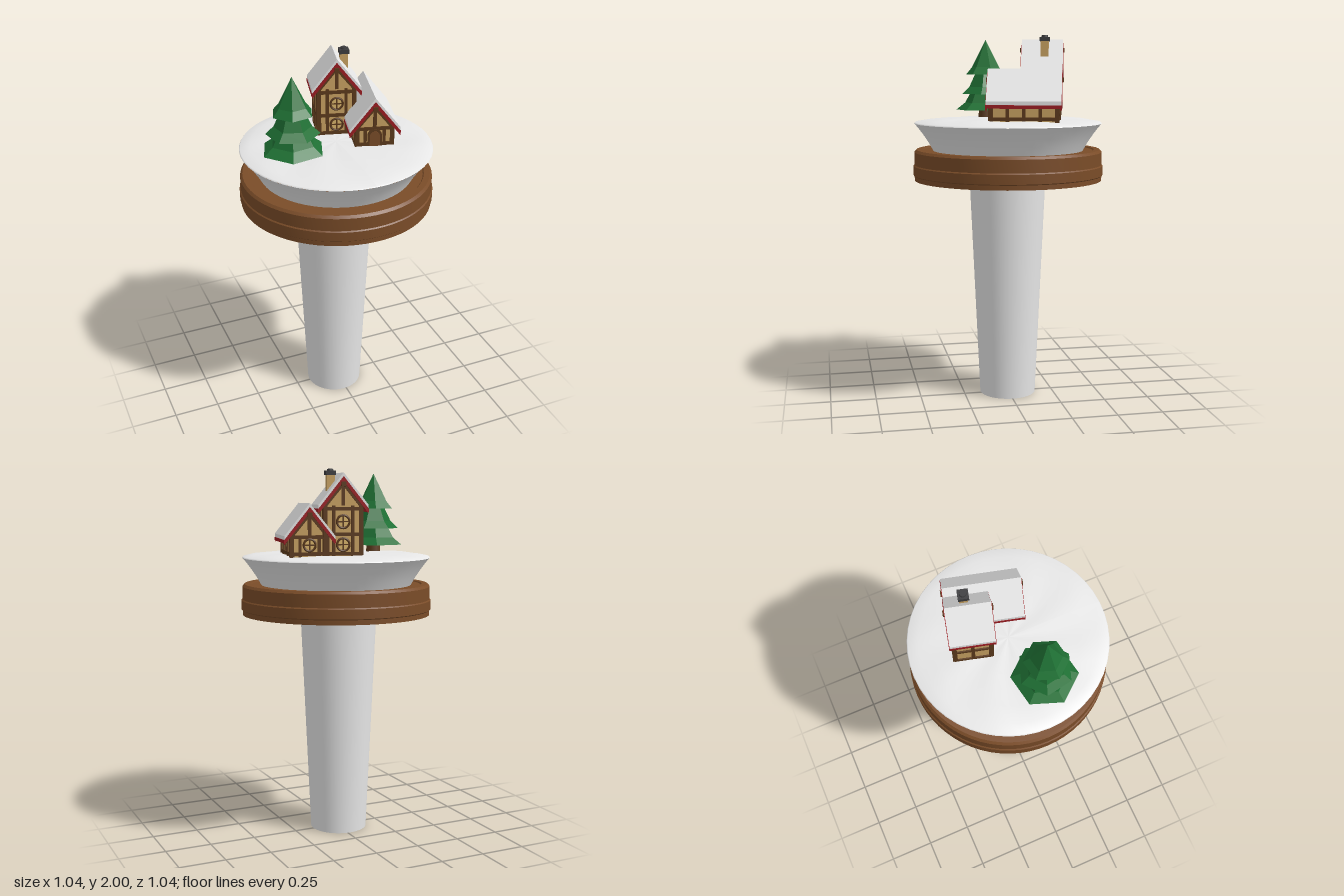
import * as THREE from 'three';
import { toCreasedNormals } from 'three/addons/utils/BufferGeometryUtils.js';

const mat = (name, color, extra = {}) => {
  const m = new THREE.MeshStandardMaterial({ color, ...extra });
  m.name = name;
  return m;
};

export function createModel() {
  const M = {
    white: mat('white', 0xececec),
    snow: mat('snow', 0xf0f0f0),
    wood: mat('wood', 0x7a4c28),
    timber: mat('timber', 0x5c3a1c),
    plaster: mat('plaster', 0xc9a262),
    red: mat('red', 0x9c1c22),
    green: mat('green', 0x1f7034, { flatShading: true }),
    charcoal: mat('charcoal', 0x3c3c3e),
    glass: mat('glass', 0xd8b36a),
  };
  const model = new THREE.Group();
  const add = (parent, name, geo, material, x = 0, y = 0, z = 0) => {
    const m = new THREE.Mesh(geo, material);
    m.name = name;
    m.position.set(x, y, z);
    parent.add(m);
    return m;
  };
  const V = (pts) => pts.map(([x, y]) => new THREE.Vector2(x, y));
  const lathe = (pts, n, start = 0) => new THREE.LatheGeometry(V(pts), n, start);

  // Tapered column
  add(model, 'column', new THREE.CylinderGeometry(0.21, 0.156, 1.22, 48), M.white, -0.015, 0.61, 0);

  // Turned wooden base with a raised band
  add(model, 'woodenBase', toCreasedNormals(lathe([
    [0, 1.22], [0.514, 1.22], [0.514, 1.245], [0.52, 1.25], [0.52, 1.3], [0.514, 1.306],
    [0.514, 1.375], [0.502, 1.388], [0.47, 1.388], [0.465, 1.382], [0, 1.382],
  ], 64), 0.4), M.wood);

  // Bowl and its gently uneven snow surface
  add(model, 'bowl', lathe([[0.41, 1.38], [0.435, 1.425], [0.465, 1.47], [0.495, 1.51], [0.513, 1.53]], 64), M.white);
  const snow = lathe([[0.513, 1.53], [0.508, 1.537], [0.455, 1.546], [0.37, 1.553], [0.2, 1.555], [0, 1.555]], 48);
  const p = snow.attributes.position;
  for (let i = 0; i < p.count; i++) {
    const r = Math.hypot(p.getX(i), p.getZ(i));
    const a = Math.atan2(p.getZ(i), p.getX(i));
    if (r > 0.1 && r < 0.5) p.setY(i, p.getY(i) + 0.004 * Math.sin(3 * a) * Math.cos(5 * a + 8 * r));
  }
  snow.computeVertexNormals();
  add(model, 'snowGround', snow, M.snow);

  // Three-tier fir tree
  const tree = new THREE.Group();
  tree.name = 'firTree';
  tree.position.set(-0.27, 0, 0.078);
  model.add(tree);
  add(tree, 'trunk', new THREE.CylinderGeometry(0.035, 0.043, 0.1, 8), M.timber, 0, 1.59, 0);
  [[0.17, 1.592, 1.73, 0.065, 40], [0.14, 1.682, 1.83, 0.045, 10], [0.112, 1.792, 1.985, 0, 40]]
    .forEach(([r, y, top, rt, deg], i) => add(tree, 'foliage' + (i + 1), lathe([
      [0, y + 0.03], [r, y], [r * 0.7, y + 0.04], [rt, top],
    ], 6, THREE.MathUtils.degToRad(deg)), M.green));

  // Half-timbered houses share one builder
  const SLOPE = 1.25;
  const SNOW = 0.022;
  const BOARD = 0.02;
  const BASE = 1.54;
  const extrude = (pts, depth) => {
    const g = new THREE.ExtrudeGeometry(new THREE.Shape(V(pts)), { depth, bevelEnabled: false });
    return g.translate(0, 0, -depth / 2);
  };
  const chevron = (hw, y, t, depth) => extrude([
    [-hw, y - SLOPE * hw], [-hw, y - t - SLOPE * hw], [0, y - t],
    [hw, y - t - SLOPE * hw], [hw, y - SLOPE * hw], [0, y],
  ], depth);

  // Beam between two points on a wall face
  const beam = (face, x1, y1, x2, y2, w = 0.018) => {
    const b = add(face, 'beam', new THREE.BoxGeometry(Math.hypot(x2 - x1, y2 - y1), w, 0.014),
      M.timber, (x1 + x2) / 2, (y1 + y2) / 2, 0);
    b.rotation.z = Math.atan2(y2 - y1, x2 - x1);
  };
  const roundWindow = (face, y, r) => {
    add(face, 'windowPane', new THREE.CircleGeometry(r, 20), M.glass, 0, y, 0.003);
    add(face, 'windowRing', new THREE.TorusGeometry(r, 0.006, 6, 20), M.timber, 0, y, 0.004);
    add(face, 'windowBar', new THREE.BoxGeometry(2 * r, 0.006, 0.006), M.timber, 0, y, 0.004);
    add(face, 'windowBar', new THREE.BoxGeometry(0.006, 2 * r, 0.006), M.timber, 0, y, 0.004);
  };
  const arch = (w, h) => {
    const s = new THREE.Shape();
    s.moveTo(-w, 0).lineTo(w, 0).lineTo(w, h - w);
    s.absarc(0, h - w, w, 0, Math.PI);
    s.lineTo(-w, 0);
    return s;
  };

  function house(name, { x, z, ridge, roofHalf, roofDepth, hw, hd, levels, posts, dress }) {
    const g = new THREE.Group();
    g.name = name;
    g.position.set(x, 0, z);
    g.rotation.y = -0.256;
    model.add(g);
    const under = ridge - SNOW - BOARD;
    const wallTop = under - SLOPE * hw;
    add(g, 'walls', extrude([[-hw, BASE], [hw, BASE], [hw, wallTop], [0, under], [-hw, wallTop]], 2 * hd), M.plaster);
    add(g, 'roofSnow', chevron(roofHalf, ridge, SNOW, roofDepth), M.snow);
    add(g, 'roofBoards', chevron(roofHalf - 0.004, ridge - SNOW, BOARD * 0.6, roofDepth - 0.01), M.timber);
    for (const s of [-1, 1]) {
      add(g, 'rakeBoard', chevron(roofHalf, ridge - SNOW + 0.003, BOARD + 0.006, 0.01), M.red, 0, 0, s * (roofDepth / 2 - 0.002));
      add(g, 'eaveBoard', new THREE.BoxGeometry(0.01, 0.018, roofDepth), M.red,
        s * (roofHalf - 0.003), ridge - SNOW - SLOPE * roofHalf - 0.006, 0);
      add(g, 'ridgeBeamEnd', new THREE.BoxGeometry(0.024, 0.024, 0.03), M.timber, 0, under - 0.016, s * (roofDepth / 2 - 0.006));

      // Gable wall framing
      const face = new THREE.Group();
      face.name = s > 0 ? 'frontGable' : 'backGable';
      face.position.z = s * hd;
      face.rotation.y = s > 0 ? 0 : Math.PI;
      g.add(face);
      for (const k of [-1, 1]) {
        beam(face, k * (hw - 0.006), BASE, k * (hw - 0.006), wallTop, 0.022);
        beam(face, k * 0.05, BASE, k * 0.05, wallTop, 0.016);
        beam(face, k * hw, wallTop - 0.008, 0, under - 0.012);
      }
      for (const y of levels) beam(face, -hw, y, hw, y);
      beam(face, 0, wallTop, 0, under - 0.01);
      dress(face, s);

      // Side wall framing
      const side = new THREE.Group();
      side.name = s > 0 ? 'leftWallFrame' : 'rightWallFrame';
      side.position.x = s * hw;
      side.rotation.y = s * Math.PI / 2;
      g.add(side);
      for (let i = 0; i < posts; i++) {
        const px = (hd - 0.008) * (2 * i / (posts - 1) - 1);
        beam(side, px, BASE, px, wallTop);
      }
      for (const y of levels) beam(side, -hd, y, hd, y);
    }
    return g;
  }

  const tall = house('tallHouse', {
    x: 0.063, z: -0.177, ridge: 1.98, roofHalf: 0.131, roofDepth: 0.222, hw: 0.1, hd: 0.096,
    levels: [1.565, 1.665, 1.795], posts: 3,
    dress: (face) => { roundWindow(face, 1.73, 0.033); roundWindow(face, 1.612, 0.033); },
  });
  house('lowHouse', {
    x: 0.211, z: -0.049, ridge: 1.824, roofHalf: 0.133, roofDepth: 0.39, hw: 0.098, hd: 0.178,
    levels: [1.565, 1.652], posts: 5,
    dress: (face, s) => {
      if (s < 0) return roundWindow(face, 1.61, 0.031);
      add(face, 'doorFrame', new THREE.ExtrudeGeometry(arch(0.038, 0.1), { depth: 0.009, bevelEnabled: false }), M.timber, 0, 1.55, 0);
      add(face, 'door', new THREE.ExtrudeGeometry(arch(0.027, 0.087), { depth: 0.012, bevelEnabled: false }), M.wood, 0, 1.55, 0);
    },
  });

  // Chimney on the tall house
  const chimney = new THREE.Group();
  chimney.name = 'chimney';
  chimney.position.set(0.053, 0, -0.014);
  tall.add(chimney);
  add(chimney, 'stack', new THREE.BoxGeometry(0.042, 0.12, 0.042), M.plaster, 0, 1.91, 0);
  add(chimney, 'cap', new THREE.BoxGeometry(0.053, 0.022, 0.053), M.charcoal, 0, 1.98, 0);
  add(chimney, 'flue', new THREE.CylinderGeometry(0.016, 0.018, 0.012, 12), M.charcoal, 0, 1.994, 0);
  return model;
}
